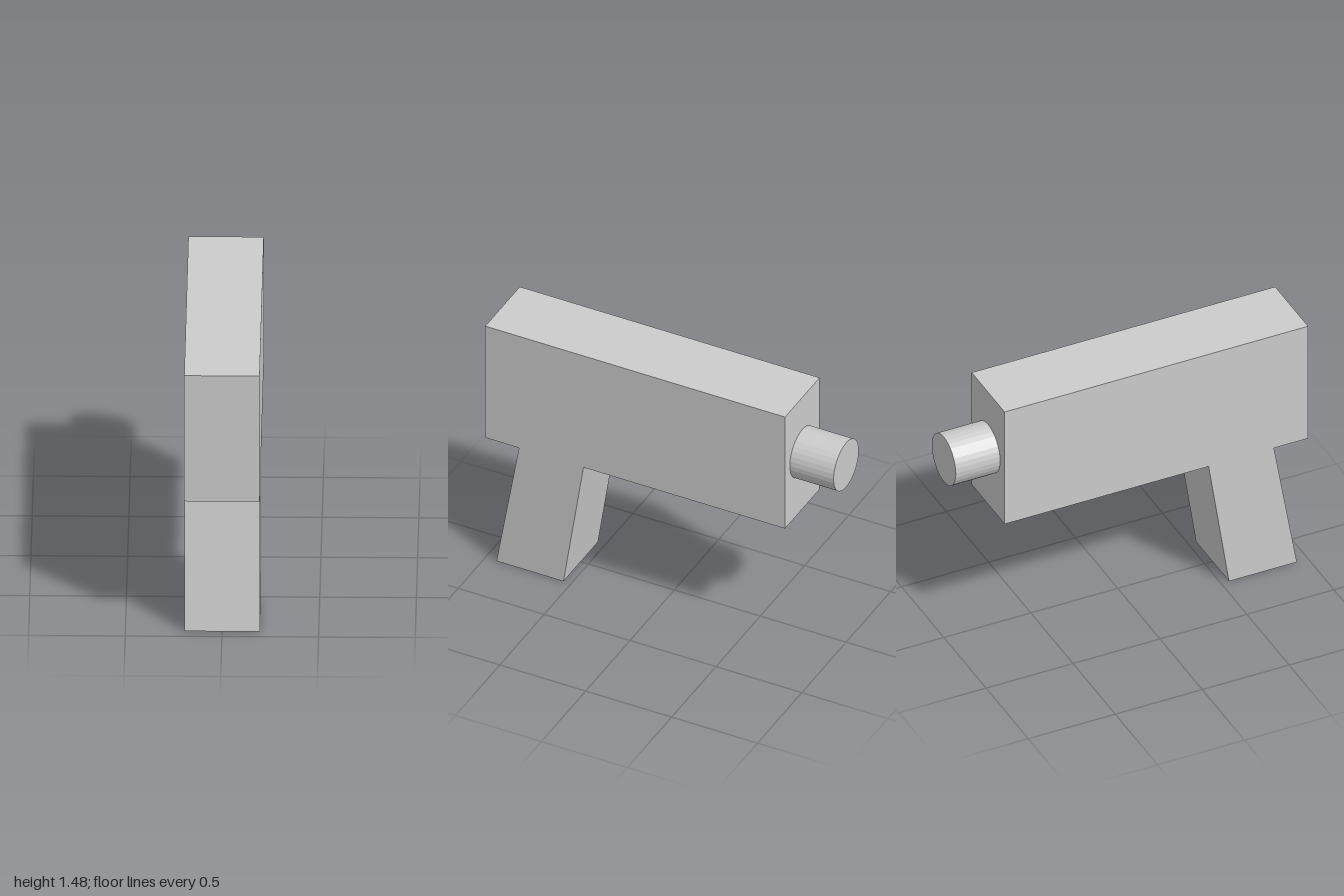
import * as THREE from 'three';

const WIDTH = 0.39;

export function createModel() {
  const group = new THREE.Group();
  const material = new THREE.MeshStandardMaterial({ color: 0xcccccc, flatShading: true });

  const add = (name, geometry) => {
    const mesh = new THREE.Mesh(geometry, material);
    mesh.name = name;
    group.add(mesh);
  };

  // Housing and slanted grip: one side profile (z, y) extruded across the width
  const profile = new THREE.Shape([
    [1, 1.48], [1, 0.767], [0.803, 0.767], [0.935, 0],
    [0.545, 0], [0.428, 0.767], [-0.745, 0.767], [-0.745, 1.48],
  ].map(([z, y]) => new THREE.Vector2(z, y)));
  const body = new THREE.ExtrudeGeometry(profile, { depth: WIDTH, bevelEnabled: false });
  body.rotateY(-Math.PI / 2).translate(WIDTH / 2, 0, 0);
  add('bodyAndGrip', body);

  // Short round nozzle at the back end
  const nozzle = new THREE.CylinderGeometry(0.142, 0.142, 0.255, 32);
  nozzle.rotateX(Math.PI / 2).translate(0, 1.133, -0.8725);
  add('nozzle', nozzle);

  return group;
}
